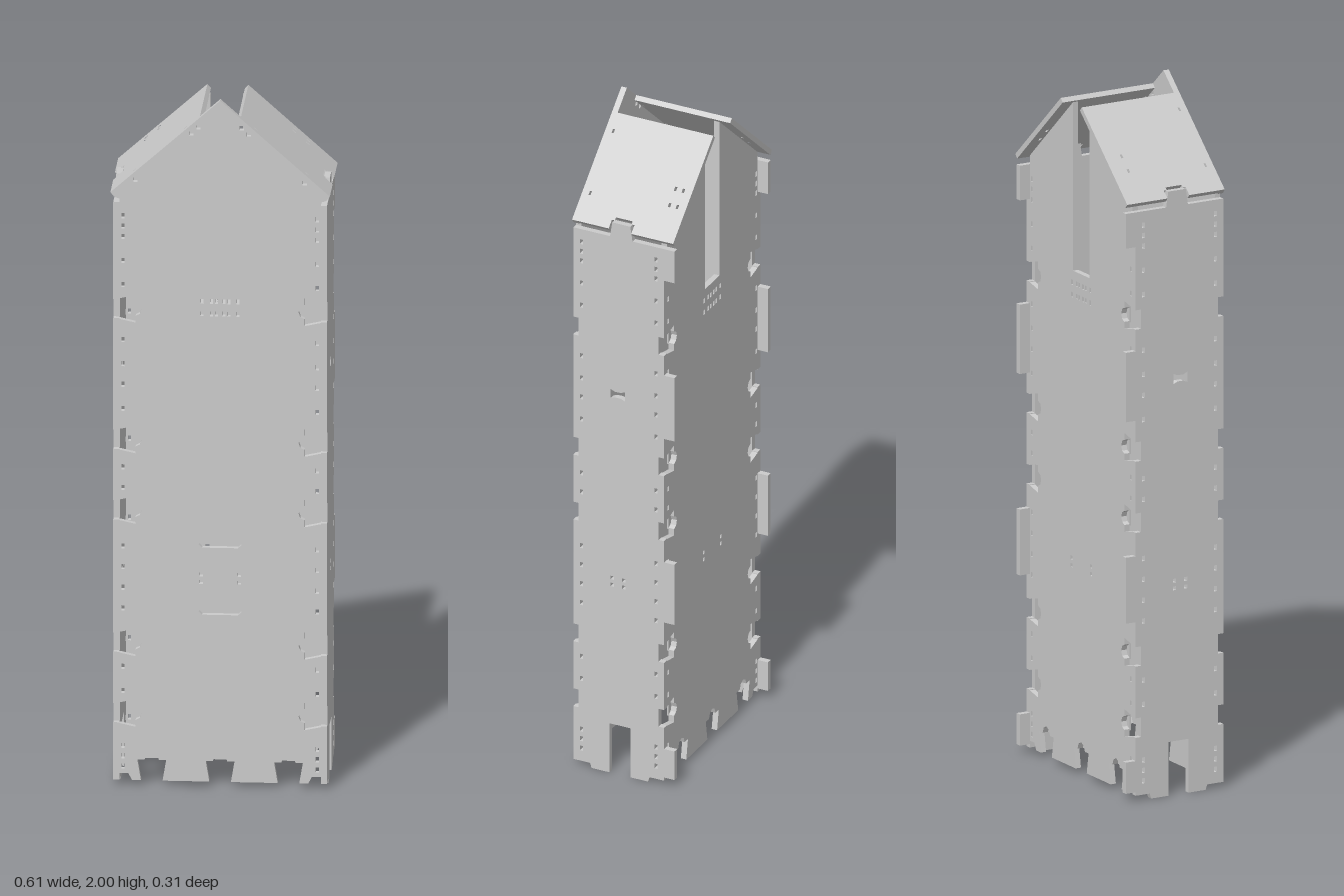
import * as THREE from 'three';

const T = 0.017;                                  // sheet thickness
const JOINTS = [0.215, 0.42, 0.805, 1.01, 1.39];  // heights of the corner joints
const PINS = [0.06, 0.09, 0.12, 0.28, 0.35, 0.52, 0.58, 0.64, 0.70, 0.87, 0.93,
  1.10, 1.17, 1.23, 1.30, 1.46, 1.53, 1.60, 1.63, 1.66];
const SLOPE = 0.272 / 0.305;
const ANGLE = Math.atan(SLOPE);
// dovetail notch with a round relief: [offset along the edge, depth]
const DOVETAIL = [[-0.03, 0], [-0.04, 0.045], [-0.02, 0.045], [-0.014, 0.057], [0, 0.062],
  [0.014, 0.057], [0.02, 0.045], [0.04, 0.045], [0.03, 0]];

const material = new THREE.MeshStandardMaterial({ color: 0xcccccc, flatShading: true });

function sheet(points, holes = [], depth = T) {
  const toVectors = list => list.map(([x, y]) => new THREE.Vector2(x, y));
  const shape = new THREE.Shape(toVectors(points));
  holes.forEach(h => shape.holes.push(new THREE.Path(toVectors(h))));
  return new THREE.ExtrudeGeometry(shape, { depth, bevelEnabled: false });
}

const rect = (x, y, w, h) => [[x - w / 2, y - h / 2], [x - w / 2, y + h / 2],
  [x + w / 2, y + h / 2], [x + w / 2, y - h / 2]];

const hexSlot = (x, y, w, h) => [[x - w / 2, y], [x - w / 2 + h / 2, y + h / 2],
  [x + w / 2 - h / 2, y + h / 2], [x + w / 2, y], [x + w / 2 - h / 2, y - h / 2],
  [x - w / 2 + h / 2, y - h / 2]];

// front and back walls: mirrored half outline, with a given top
function wallOutline(top) {
  const half = [];
  DOVETAIL.slice(4).forEach(([o, d]) => half.push([o, 0.02 + d * 1.33]));
  DOVETAIL.forEach(([o, d]) => half.push([0.19 + o, 0.02 + d * 1.33]));
  half.push([0.245, 0.02], [0.255, 0.04], [0.28, 0.04]);
  JOINTS.forEach(y => DOVETAIL.forEach(([o, d]) => half.push([0.28 - d, y + o])));
  half.push(...top);
  const left = half.filter(p => p[0] > 0.001).map(([x, y]) => [-x, y]).reverse();
  return [...half, ...left];
}

function wallHoles() {
  const holes = [];
  for (const s of [-1, 1]) {
    PINS.forEach(y => holes.push(rect(s * 0.27, y, 0.009, 0.015)));
    for (const y of [0.6, 0.622]) holes.push(rect(s * 0.053, y, 0.011, 0.011));
    for (const y of [1.38, 1.416]) {
      for (const x of [0.01, 0.024, 0.05]) holes.push(rect(s * x, y, 0.009, 0.014));
    }
  }
  return holes;
}

function sideOutline() {
  const pts = [[-0.125, 0.02], [-0.08, 0.02], [-0.075, 0.005], [-0.02, 0.005], [-0.02, 0.16],
    [0.045, 0.16], [0.045, 0.005], [0.1, 0.005], [0.105, 0.02], [0.157, 0.02]];
  JOINTS.forEach(y => pts.push([0.157, y - 0.028], [0.14, y - 0.028], [0.14, y + 0.028], [0.157, y + 0.028]));
  // top edge with the tab that passes through the roof
  pts.push([0.157, 1.7], [0.043, 1.7], [0.036, 1.745], [-0.02, 1.745], [-0.027, 1.7]);
  // back edge: projecting tabs and joint notches, from the top down
  const steps = [[1.6, 1.7, -0.157], [1.1, 1.3, -0.157], [0.52, 0.71, -0.157], [0.03, 0.12, -0.157],
    ...JOINTS.map(y => [y - 0.028, y + 0.028, -0.108])].sort((a, b) => b[0] - a[0]);
  steps.forEach(([lo, hi, z]) => pts.push([-0.125, hi], [z, hi], [z, lo], [-0.125, lo]));
  return pts;
}

export function createModel() {
  const model = new THREE.Group();
  const add = (name, geometry) => {
    const mesh = new THREE.Mesh(geometry, material);
    mesh.name = name;
    model.add(mesh);
    return mesh;
  };

  // front wall with its pointed gable
  const gableHoles = [];
  for (const s of [-1, 1]) {
    for (const x of [0.06, 0.08, 0.235]) gableHoles.push(rect(s * x, 1.975 - SLOPE * x, 0.012, 0.012));
  }
  add('frontWall', sheet(
    wallOutline([[0.28, 1.71], [0.295, 1.715], [0.305, 1.728], [0, 2]]),
    [...wallHoles(), ...gableHoles, hexSlot(0, 0.71, 0.12, 0.02), hexSlot(0, 0.515, 0.12, 0.02)]
  )).position.z = 0.157 - T;

  // back wall with the tall open slot
  add('backWall', sheet(
    wallOutline([[0.28, 1.725], [0.045, 1.935], [0.045, 1.45]]), wallHoles()
  )).position.z = -0.125;

  // half discs closing the round reliefs of the joints
  const disc = sheet([[0, -0.024], [0, 0.024], [-0.015, 0.017], [-0.021, 0], [-0.015, -0.017]], [], 0.005);
  for (const z of [0.135, -0.108]) {
    for (const y of JOINTS) {
      add('jointDisc', disc).position.set(0.235, y, z);
      const mirrored = add('jointDisc', disc);
      mirrored.rotation.z = Math.PI;
      mirrored.position.set(-0.235, y, z);
    }
    for (const x of [-0.19, 0, 0.19]) {
      const lower = add('jointDisc', disc);
      lower.rotation.z = -Math.PI / 2;
      lower.position.set(x, 0.08, z);
    }
  }

  // side walls
  const sideHoles = [
    // bow-tie opening
    [[-0.004, 1.188], [-0.004, 1.218], [0.01, 1.212], [0.028, 1.212], [0.042, 1.218],
      [0.042, 1.188], [0.028, 1.194], [0.01, 1.194]]];
  PINS.forEach(y => {
    sideHoles.push(rect(0.132, y, 0.009, 0.015));
    if (JOINTS.every(j => Math.abs(j - y) > 0.045)) sideHoles.push(rect(-0.1, y, 0.009, 0.015));
  });
  for (const z of [0, 0.036]) {
    for (const y of [0.6, 0.622]) sideHoles.push(rect(z, y, 0.01, 0.011));
  }
  const side = sheet(sideOutline(), sideHoles).rotateY(-Math.PI / 2);
  add('leftSideWall', side).position.x = 0.297;
  add('rightSideWall', side).position.x = -0.28;

  // sloping roof sheets, cut short of the ridge to leave the opening
  const c = Math.cos(ANGLE);
  for (const s of [1, -1]) {
    const flat = ([x, z]) => [s * x / c, -z];
    const outline = [[0.057, 0.14], [0.305, 0.14], [0.305, 0.043], [0.285, 0.043], [0.285, 0.034],
      [0.278, 0.034], [0.278, -0.018], [0.285, -0.018], [0.285, -0.027], [0.305, -0.027],
      [0.305, -0.157], [0.057, -0.157]].map(flat);
    const holes = [];
    for (const x of [0.188, 0.225]) {
      for (const z of [-0.13, -0.106]) holes.push(rect(x, z, 0.009, 0.007).map(flat));
    }
    for (const x of [0.098, 0.24]) holes.push(rect(x, 0.133, 0.009, 0.006).map(flat));
    const roof = sheet(outline, holes, 0.015);
    roof.rotateX(-Math.PI / 2).translate(0, -0.015, 0).rotateZ(-s * ANGLE).translate(0, 2, 0);
    add(s > 0 ? 'leftRoof' : 'rightRoof', roof);
  }

  // shelf below the slot, with two low rails
  add('shelf', new THREE.BoxGeometry(0.12, 0.014, 0.25)).position.set(0, 1.398, 0.015);
  for (const x of [-0.02, 0.02]) {
    add('shelfRail', new THREE.BoxGeometry(0.02, 0.003, 0.248)).position.set(x, 1.406, 0.015);
  }
  return model;
}
